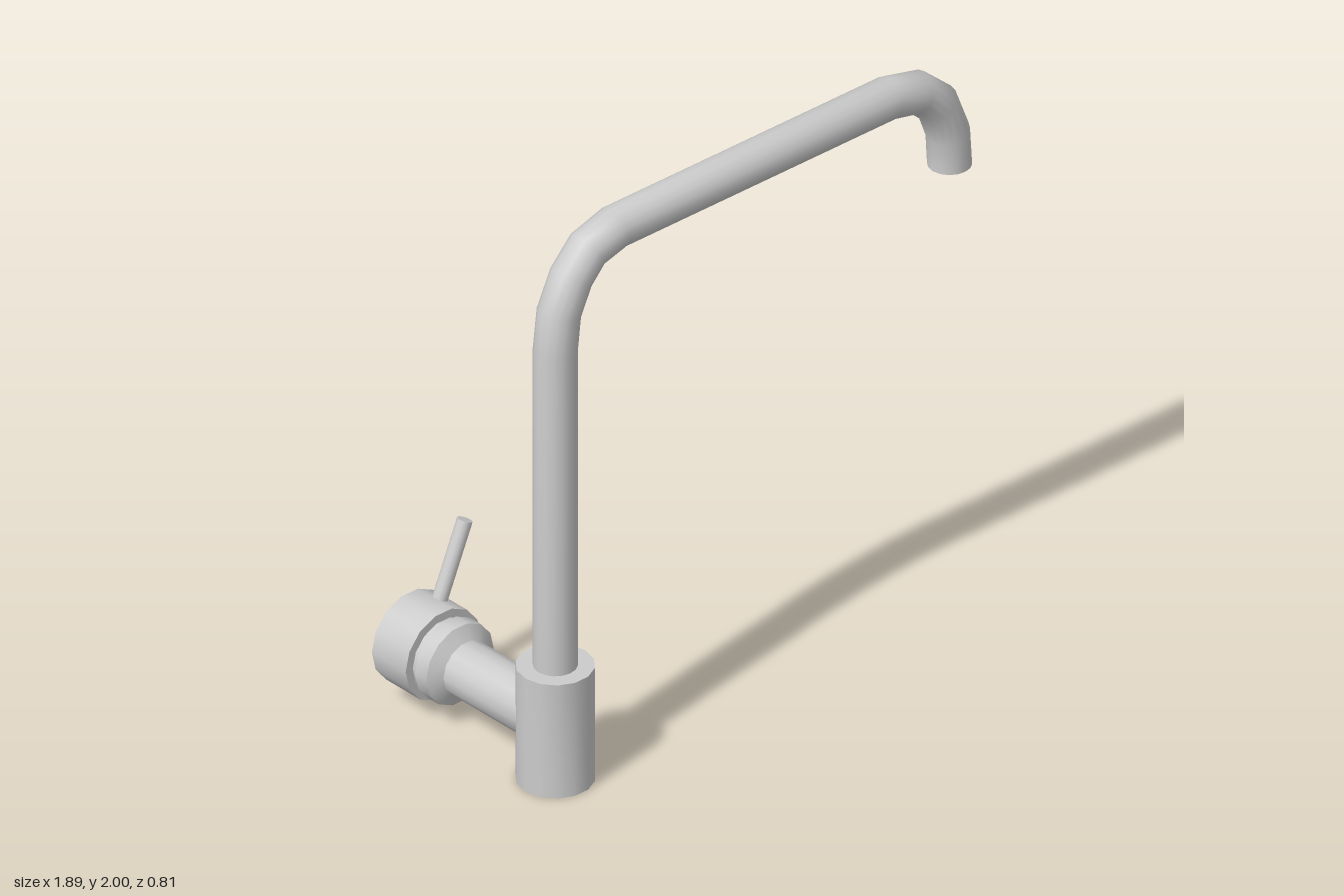
import * as THREE from 'three';
import { toCreasedNormals } from 'three/addons/utils/BufferGeometryUtils.js';

const material = new THREE.MeshStandardMaterial({ color: 0xcccccc, side: THREE.DoubleSide });
const X = -0.788, Z = 0.28; // axis of the upright column
const SIDES = 14;

// Path that places one tube ring on each given point, keeping the bends angular
class RingPath extends THREE.Curve {
  constructor(points) {
    super();
    this.points = points.map(([x, y]) => new THREE.Vector3(x, y, Z));
  }
  index(u) {
    return Math.round(u * (this.points.length - 1));
  }
  getPointAt(u, target = new THREE.Vector3()) {
    return target.copy(this.points[this.index(u)]);
  }
  getTangentAt(u, target = new THREE.Vector3()) {
    const p = this.points, i = this.index(u), last = p.length - 1;
    if (i === 0) return target.set(0, 1, 0);
    if (i === last) return target.set(0, -1, 0); // level cut at the mouth
    const before = new THREE.Vector3().subVectors(p[i], p[i - 1]).normalize();
    const after = new THREE.Vector3().subVectors(p[i + 1], p[i]).normalize();
    return target.addVectors(before, after).normalize();
  }
}

// Turned part from [radius, height] pairs, with sharp edges kept
function turned(profile) {
  const points = profile.map(([r, h]) => new THREE.Vector2(r, h));
  // quarter-segment start keeps a corner on the +x and -x sides
  const geometry = new THREE.LatheGeometry(points, SIDES, Math.PI / 2);
  return toCreasedNormals(geometry, 0.6);
}

export function createModel() {
  const model = new THREE.Group();
  model.name = 'kitchenTap';
  const add = (name, geometry) => {
    const mesh = new THREE.Mesh(geometry, material);
    mesh.name = name;
    model.add(mesh);
    return mesh;
  };

  // Base sleeve, open underneath
  add('base', turned([[0.126, 0], [0.126, 0.417], [0, 0.417]])).position.set(X, 0, Z);

  // Upright pipe, two bends and the spout
  const path = [
    [X, 0.417], [X, 1.58], [-0.773, 1.71], [-0.722, 1.82], [-0.652, 1.895], [-0.54, 1.929],
    [0.61, 1.929], [0.733, 1.9], [0.817, 1.825], [0.863, 1.705], [0.871, 1.58],
  ];
  add('spoutPipe', new THREE.TubeGeometry(new RingPath(path), path.length - 1, 0.071, 16));

  // Spout mouth: rim and shallow recessed outlet
  add('spoutOutlet', turned([[0, 0.008], [0.056, 0.008], [0.056, 0], [0.071, 0]]))
    .position.set(0.871, 1.58, Z);

  // Side arm, collar, neck and head turned along -z
  const arm = turned([[0.095, -0.2], [0.095, 0.14]]);
  const collar = turned([[0.095, 0.14], [0.142, 0.168], [0.142, 0.222], [0.129, 0.222]]);
  const neck = turned([[0.129, 0.222], [0.129, 0.246]]);
  const head = turned([[0, 0.246], [0.159, 0.246], [0.159, 0.405], [0, 0.405]]);
  Object.entries({ arm, collar, neck, head }).forEach(([name, geometry]) => {
    add(name, geometry.rotateX(-Math.PI / 2)).position.set(X, 0.21, 0);
  });

  // Lever standing radially out of the head
  const length = 0.31;
  const lever = new THREE.CylinderGeometry(0.026, 0.026, length, 12);
  lever.translate(0, 0.425 - length / 2, 0);
  const mesh = add('lever', lever);
  mesh.position.set(X, 0.21, -0.33);
  mesh.rotation.z = -0.4;

  return model;
}
